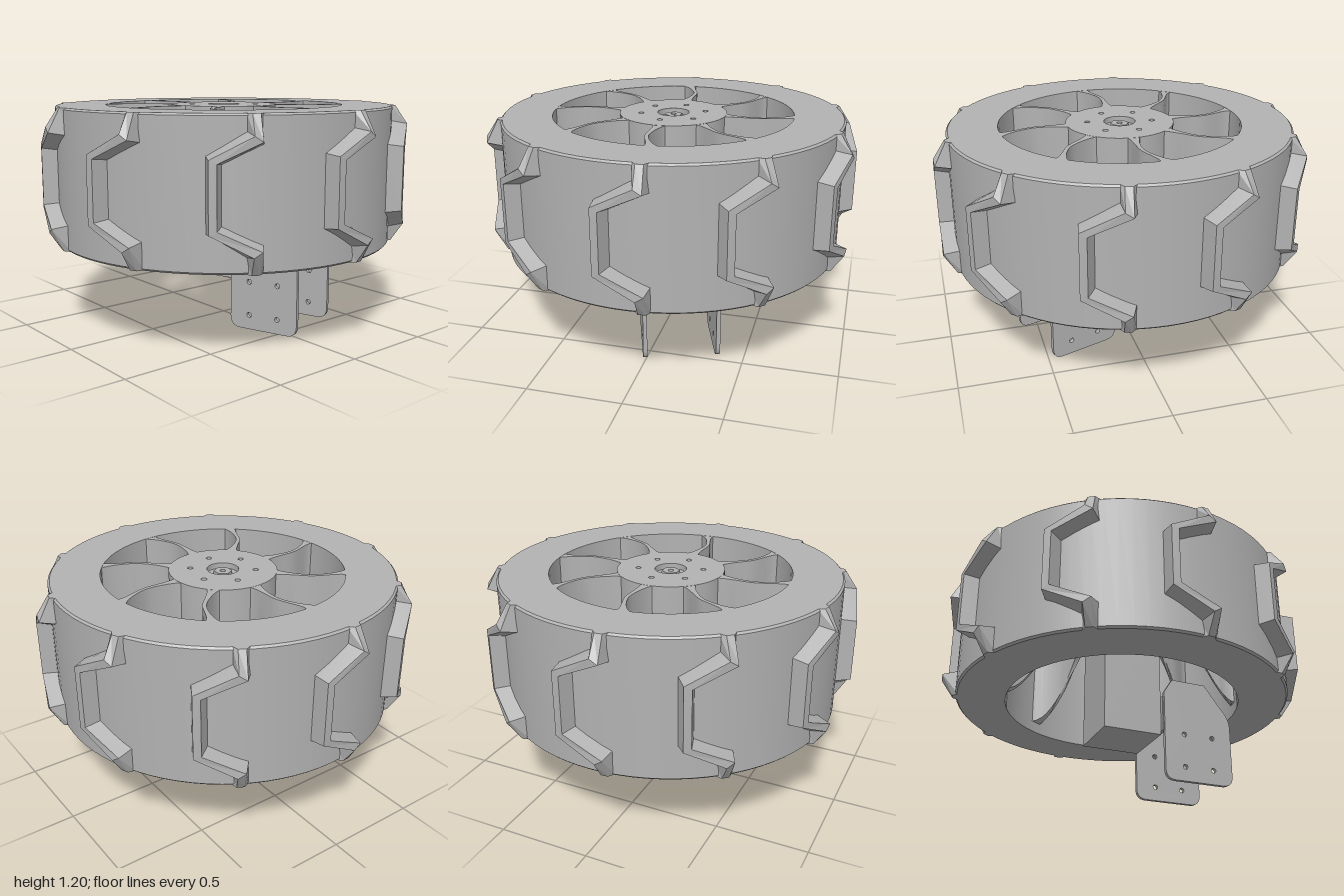
import * as THREE from 'three';
import { toCreasedNormals } from 'three/addons/utils/BufferGeometryUtils.js';

const BOTTOM = 0.46, TOP = 1.2, TIRE_R = 0.92, RIM_R = 0.65, HUB_R = 0.29;

export function createModel() {
  const grey = new THREE.MeshStandardMaterial({ color: 0xb2b2b2 });
  const root = new THREE.Group();

  const add = (parent, name, geometry, x = 0, y = 0, z = 0) => {
    const mesh = new THREE.Mesh(geometry, grey);
    mesh.name = name;
    mesh.position.set(x, y, z);
    parent.add(mesh);
    return mesh;
  };
  const circle = (x, y, r) => new THREE.Path().absarc(x, y, r, 0, Math.PI * 2, true);
  // Shape lying in the ground plane (shape y = -z), raised from y0 to y1
  const slab = (shape, y0, y1, segments = 24) =>
    new THREE.ExtrudeGeometry(shape, { depth: y1 - y0, bevelEnabled: false, curveSegments: segments })
      .rotateX(-Math.PI / 2).translate(0, y0, 0);

  // Tire ring with slightly eased outer edges
  const ring = [
    [RIM_R, BOTTOM], [TIRE_R - 0.01, BOTTOM], [TIRE_R, BOTTOM + 0.01],
    [TIRE_R, TOP - 0.01], [TIRE_R - 0.01, TOP], [RIM_R, TOP], [RIM_R, BOTTOM],
  ].map(([r, y]) => new THREE.Vector2(r, y));
  add(root, 'tire', toCreasedNormals(new THREE.LatheGeometry(ring, 80), 0.4));

  // Ten bracket-shaped tread lugs
  const lug = lugGeometry();
  for (let i = 0; i < 10; i++) add(root, 'treadLug', lug).rotation.y = (i * Math.PI) / 5;

  // Eight curved spokes, flared at both ends
  const spoke = spokeGeometry(slab);
  for (let i = 0; i < 8; i++) add(root, 'spoke', spoke).rotation.y = (i * Math.PI) / 4;

  // Hub plate with six bolt holes and a recessed centre
  const hub = new THREE.Shape().absarc(0, 0, HUB_R, 0, Math.PI * 2, false);
  hub.holes.push(circle(0, 0, 0.085));
  for (let i = 0; i < 6; i++) {
    const a = -0.17 + (i * Math.PI) / 3;
    hub.holes.push(circle(0.175 * Math.cos(a), 0.175 * Math.sin(a), 0.015));
  }
  add(root, 'hub', toCreasedNormals(slab(hub, 1.0, TOP), 0.5));
  add(root, 'hubCentre', new THREE.CylinderGeometry(0.086, 0.086, 0.16, 32), 0, 1.09, 0);
  const nut = new THREE.Shape();
  for (let i = 0; i < 6; i++) {
    const a = (i * Math.PI) / 3;
    nut[i ? 'lineTo' : 'moveTo'](0.05 * Math.cos(a), 0.05 * Math.sin(a));
  }
  nut.holes.push(circle(0, 0, 0.015));
  add(root, 'axleNut', slab(nut, 1.17, 1.19));

  // Motor and its two-sided bracket, turned a little about the axle
  const mount = new THREE.Group();
  mount.name = 'motorMount';
  mount.rotation.y = 0.33;
  root.add(mount);
  add(mount, 'motor', new THREE.BoxGeometry(0.33, 0.74, 0.33), 0, 0.63, 0);
  add(mount, 'bracketBack', new THREE.BoxGeometry(0.02, 0.2, 0.38), 0.175, 0.38, 0);
  const plate = bracketGeometry(circle);
  for (const side of [-1, 1]) add(mount, 'bracketPlate', plate, 0.17, 0, side * 0.193);

  return root;
}

// Raised ridge lofted through stations down the tread
function lugGeometry() {
  // angle and height of the outer edge, then of the inner edge, then crest radius
  const stations = [
    [-15.3, 1.2, -10, 1.2, 0.935], [-15.3, 1.12, -10, 1.06, 1.0],
    [-27, 1.01, -22, 0.97, 1.0], [-27, 0.65, -22, 0.69, 1.0],
    [-15.3, 0.54, -10, 0.6, 1.0], [-15.3, 0.46, -10, 0.46, 0.935],
  ];
  const positions = [], index = [];
  for (const [a0, y0, a1, y1, crest] of stations) {
    for (const [t, r] of [[0, 0.905], [0.28, crest], [0.72, crest], [1, 0.905]]) {
      const a = THREE.MathUtils.degToRad(a0 + (a1 - a0) * t);
      positions.push(r * Math.sin(a), y0 + (y1 - y0) * t, r * Math.cos(a));
    }
  }
  const last = (stations.length - 1) * 4;
  for (let i = 0; i < last; i += 4) {
    for (let j = i; j < i + 3; j++) index.push(j, j + 4, j + 5, j, j + 5, j + 1);
  }
  index.push(0, 1, 2, 0, 2, 3, last, last + 2, last + 1, last, last + 3, last + 2);
  const g = new THREE.BufferGeometry();
  g.setAttribute('position', new THREE.Float32BufferAttribute(positions, 3));
  g.setIndex(index);
  return toCreasedNormals(g, 0.2);
}

// Bent blade pointing to -z, deepest at the rim
function spokeGeometry(slab) {
  const path = new THREE.SplineCurve([
    [0, 0.27], [0.012, 0.38], [0.012, 0.48], [-0.025, 0.58], [-0.07, 0.665],
  ].map(([x, y]) => new THREE.Vector2(x, y)));
  const left = [], right = [];
  for (let i = 0; i <= 16; i++) {
    const t = i / 16, p = path.getPoint(t);
    const w = 0.01 + 0.05 * Math.pow(t, 9) + 0.035 * Math.pow(1 - t, 8);
    left.push(new THREE.Vector2(p.x - w, p.y));
    right.push(new THREE.Vector2(p.x + w, p.y));
  }
  const g = slab(new THREE.Shape([...right, ...left.reverse()]), 0.5, TOP - 0.001);
  const pos = g.attributes.position;
  for (let i = 0; i < pos.count; i++) {
    if (pos.getY(i) > 0.6) continue;
    const t = THREE.MathUtils.smoothstep(-pos.getZ(i), 0.27, 0.66);
    pos.setY(i, 0.98 - 0.46 * t);
  }
  return toCreasedNormals(g, 0.6);
}

// Upright side plate with rounded lower corners and four screw holes
function bracketGeometry(circle) {
  const s = new THREE.Shape();
  s.moveTo(0.06, 0);
  s.lineTo(0.34, 0);
  s.quadraticCurveTo(0.4, 0, 0.4, 0.06);
  s.lineTo(0.4, 0.34);
  s.quadraticCurveTo(0.4, 0.4, 0.35, 0.45);
  s.lineTo(0.25, 0.58);
  s.lineTo(0.05, 0.58);
  s.lineTo(0, 0.5);
  s.lineTo(0, 0.06);
  s.quadraticCurveTo(0, 0, 0.06, 0);
  for (const x of [0.116, 0.285]) for (const y of [0.08, 0.265]) s.holes.push(circle(x, y, 0.014));
  return new THREE.ExtrudeGeometry(s, { depth: 0.022, bevelEnabled: false, curveSegments: 8 })
    .translate(0, 0, -0.011);
}
